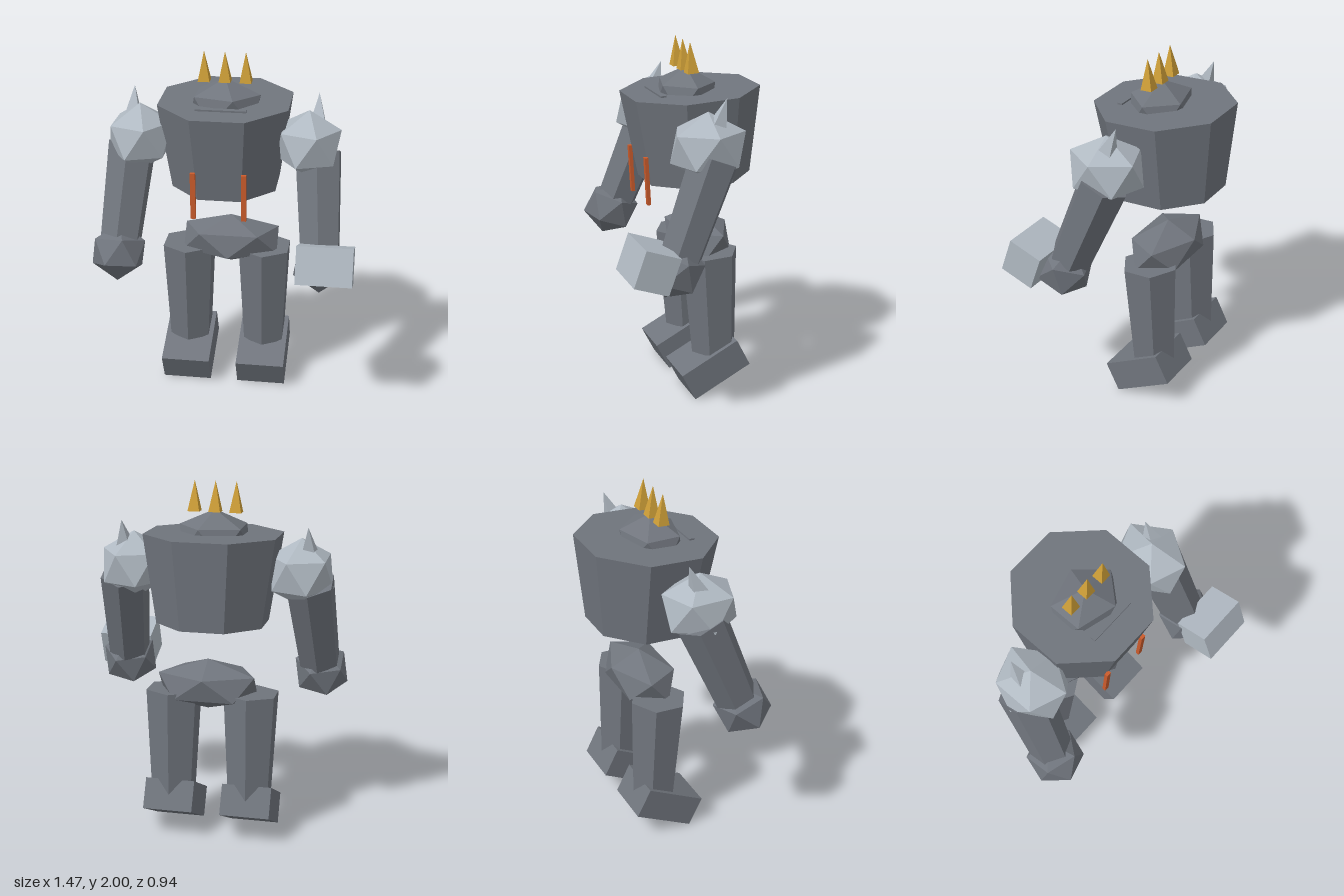
import * as THREE from 'three';

export function createModel() {
  const model = new THREE.Group();
  model.name = 'armouredGolem';
  const mat = (name, color) => {
    const m = new THREE.MeshStandardMaterial({ color, flatShading: true });
    m.name = name;
    return m;
  };
  const iron = mat('dark iron', 0x70757d);
  const steel = mat('pale steel', 0xb0b9c2);
  const gold = mat('gold', 0xd0a038);
  const ember = mat('ember orange', 0xcc5c2c);

  const add = (name, geo, material, pos, rotX = 0) => {
    const mesh = new THREE.Mesh(geo, material);
    mesh.name = name;
    mesh.position.set(...pos);
    mesh.rotation.x = rotX;
    model.add(mesh);
    return mesh;
  };
  const box = (w, h, d) => new THREE.BoxGeometry(w, h, d);

  // Faceted rock: an icosahedron standing on one corner, then stretched
  const rock = (rx, ry, rz, turn = 0) =>
    new THREE.IcosahedronGeometry(1, 0)
      .rotateZ(-Math.atan(2 / (1 + Math.sqrt(5))))
      .rotateY(turn)
      .scale(rx, ry, rz);

  // Four-sided spike with its flats facing the axes
  const spike = (r, h) => new THREE.ConeGeometry(r, h, 4).rotateY(Math.PI / 4);

  // Six-sided tapered limb between two points
  const limb = (name, top, bottom, rTop, rBottom) => {
    const a = new THREE.Vector3(...top), b = new THREE.Vector3(...bottom);
    const axis = a.clone().sub(b);
    const mid = a.clone().add(b).multiplyScalar(0.5);
    const mesh = add(name, new THREE.CylinderGeometry(rTop, rBottom, axis.length(), 6), iron, mid.toArray());
    mesh.quaternion.setFromUnitVectors(new THREE.Vector3(0, 1, 0), axis.normalize());
  };

  const cx = -0.02; // the body sits slightly off centre
  const lean = 0.055;

  // Torso, pelvis and head
  add('torso', new THREE.CylinderGeometry(0.39, 0.315, 0.49, 8).rotateY(Math.PI / 8), iron, [cx, 1.48, -0.123], lean);
  add('pelvis', rock(0.318, 0.144, 0.19, Math.PI / 2), iron, [0.005, 0.877, -0.15]);
  add('head', rock(0.22, 0.16, 0.18), iron, [cx, 1.69, -0.085]);

  // Visor with two eyes, just above the chest plate
  add('visor', box(0.28, 0.03, 0.03), iron, [cx, 1.708, 0.09], lean);
  for (const s of [-1, 1]) {
    add('eye', box(0.056, 0.02, 0.02), ember, [cx + s * 0.083, 1.702, 0.115], lean);
    add('chestStrip', box(0.028, 0.27, 0.02), ember, [cx + s * 0.14, 1.255, 0.187], lean);
  }

  // Crown spikes
  for (const i of [-1, 0, 1])
    add('crownSpike', spike(0.046, 0.168), gold, [cx + i * 0.115, 1.918, -0.073], lean);

  // Arms and legs, one per side
  for (const s of [-1, 1]) {
    add('shoulder', rock(0.198, 0.19, 0.225), steel, [cx + s * 0.47, 1.512, -0.037]);
    add('shoulderSpike', spike(0.07, 0.2), steel, [cx + s * 0.515, 1.683, -0.09], -0.35);
    limb('arm', [cx + s * 0.522, 1.46, -0.055], [cx + s * 0.56, 0.96, 0.145], 0.14, 0.12);
    add('fist', rock(0.165, 0.16, 0.165), iron, [cx + s * 0.567, 0.892, 0.183], -0.35);
    limb('leg', [cx + s * 0.22, 0.838, -0.15], [cx + s * 0.22, 0.243, -0.18], 0.162, 0.13);
    add('foot', box(0.28, 0.175, 0.37), iron, [cx + s * 0.22, 0.166, -0.145], 0.475);
  }

  // Hammer block held in front of the left fist
  add('hammerBlock', box(0.305, 0.207, 0.2), steel, [0.583, 0.954, 0.34], -0.34);

  return model;
}
